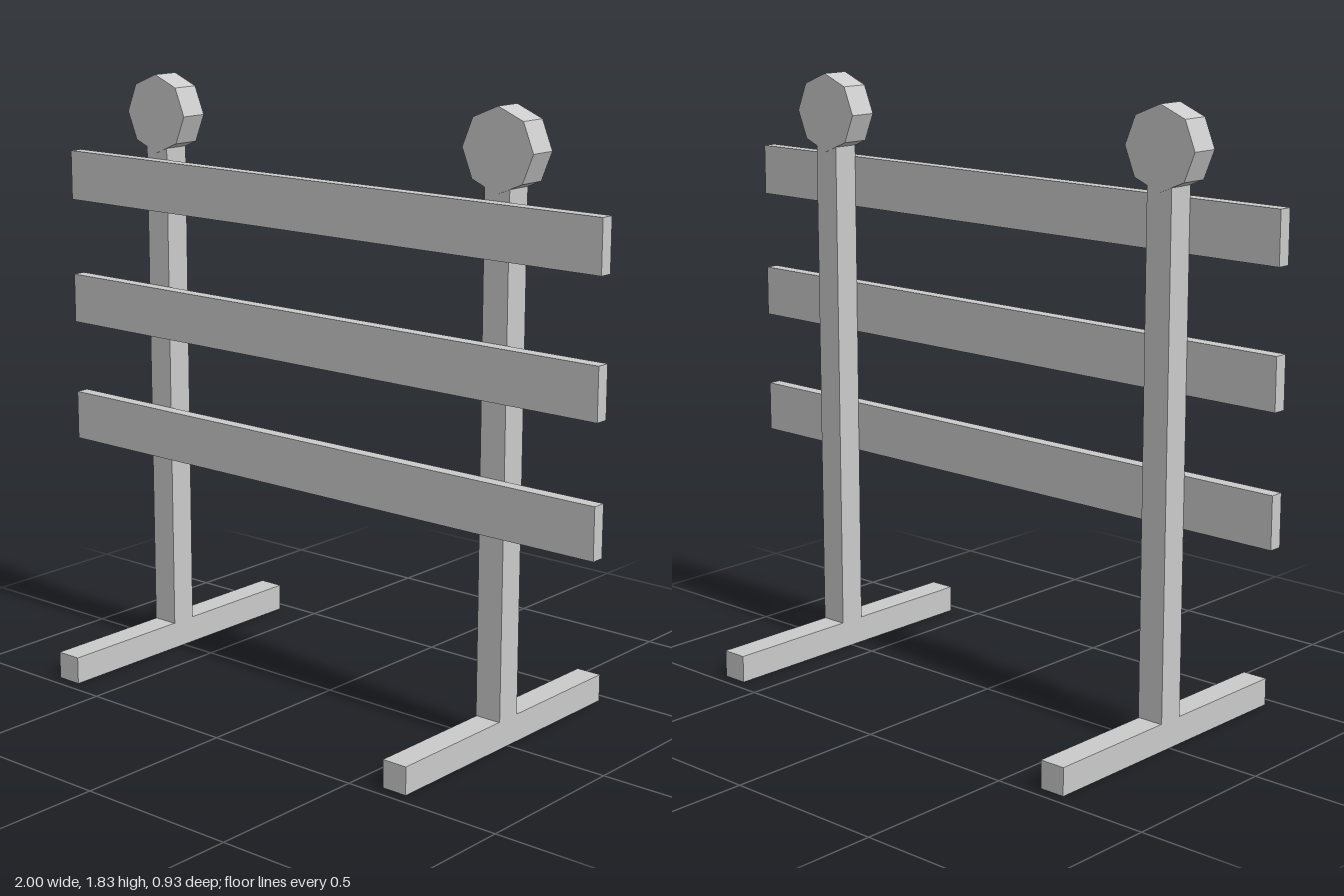
import * as THREE from 'three';

const material = new THREE.MeshStandardMaterial({ color: 0xcccccc, flatShading: true });

export function createModel() {
  const model = new THREE.Group();
  model.name = 'roadBarrier';

  function add(parent, name, geometry, x, y, z) {
    const mesh = new THREE.Mesh(geometry, material);
    mesh.name = name;
    mesh.position.set(x, y, z);
    parent.add(mesh);
  }

  // Two uprights, each with a floor foot and an eight-sided lamp on top
  const footHeight = 0.083;
  const postTop = 1.61;
  const postHeight = postTop - footHeight;
  for (const [side, x] of [['right', -0.66], ['left', 0.63]]) {
    const stand = new THREE.Group();
    stand.name = side + 'Stand';
    stand.position.x = x;
    add(stand, 'foot', new THREE.BoxGeometry(0.08, footHeight, 0.925), 0, footHeight / 2, 0);
    add(stand, 'post', new THREE.BoxGeometry(0.084, postHeight, 0.082), 0, footHeight + postHeight / 2, 0.001);
    const lamp = new THREE.CylinderGeometry(0.119, 0.119, 0.086, 8).rotateX(Math.PI / 2);
    add(stand, 'lamp', lamp, 0, 1.706, 0.001);
    model.add(stand);
  }

  // Three planks across the front of the posts
  for (const [name, y] of [['bottomPlank', 0.716], ['middlePlank', 1.099], ['topPlank', 1.492]]) {
    add(model, name, new THREE.BoxGeometry(2, 0.154, 0.041), 0, y, 0.0615);
  }

  return model;
}
